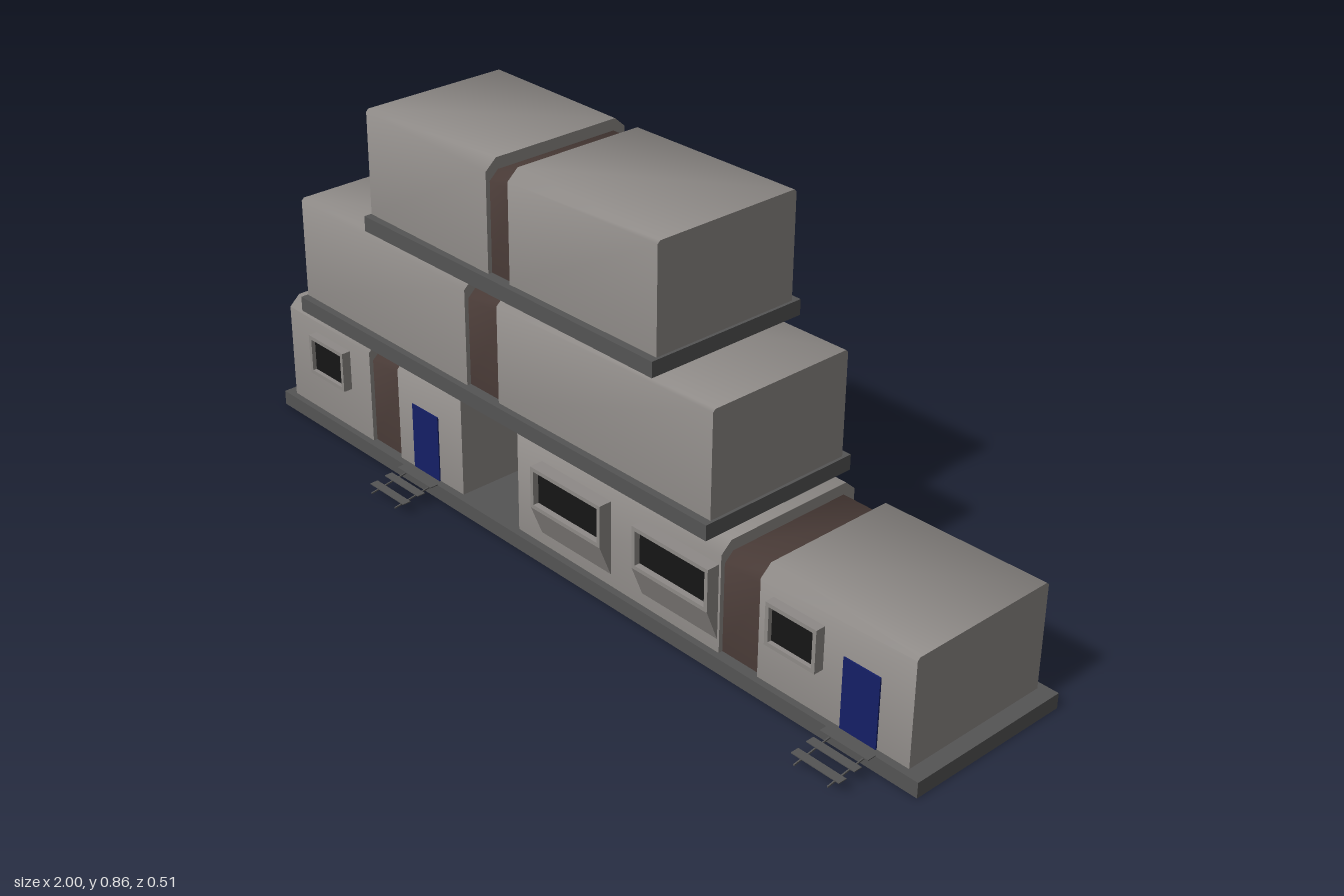
import * as THREE from 'three';
import { toCreasedNormals } from 'three/addons/utils/BufferGeometryUtils.js';

const paint = (color) => new THREE.MeshStandardMaterial({ color });
const wall = paint(0x8e8a87);
const base = paint(0x545454);
const brown = paint(0x483a36);
const blue = paint(0x141f66);
const glass = paint(0x151515);

const FRONT = 0.132, BACK = -0.242;

function add(parent, name, geometry, material, x = 0, y = 0, z = 0) {
  const mesh = new THREE.Mesh(geometry, material);
  mesh.name = name;
  mesh.position.set(x, y, z);
  parent.add(mesh);
  return mesh;
}

// Box given by its limits
function block(parent, name, material, x0, x1, y0, y1, z0, z1) {
  return add(parent, name, new THREE.BoxGeometry(x1 - x0, y1 - y0, z1 - z0), material,
    (x0 + x1) / 2, (y0 + y1) / 2, (z0 + z1) / 2);
}

// Closed solid through sections along x; each is { x, pts: [[z, y], ...] }
function loft(sections) {
  const pos = [], idx = [], n = sections[0].pts.length, last = (sections.length - 1) * n;
  for (const s of sections) for (const [z, y] of s.pts) pos.push(s.x, y, z);
  for (let i = 0; i < sections.length - 1; i++) {
    for (let j = 0; j < n; j++) {
      const k = (j + 1) % n, a = i * n, b = a + n;
      idx.push(a + j, b + j, b + k, a + j, b + k, a + k);
    }
  }
  for (let j = 1; j < n - 1; j++) idx.push(0, j, j + 1, last, last + j + 1, last + j);
  const g = new THREE.BufferGeometry();
  g.setAttribute('position', new THREE.Float32BufferAttribute(pos, 3));
  g.setIndex(idx);
  return toCreasedNormals(g, 0.9);
}

// Cabin cross-section: inset side walls and chamfered roof edges
function section(x, y0, top, inset, cz, cy) {
  const f = FRONT - inset, b = BACK + inset;
  return { x, pts: [[f, y0], [f, top - cy], [f - cz, top], [b + cz, top], [b, top - cy], [b, y0]] };
}
const outer = (x, y0, h) => section(x, y0, y0 + h - 0.007, 0.003, 0.006, 0.006);
const inner = (x, y0, h) => section(x, y0, y0 + h, 0, 0.027, 0.024);

// Floor slab: a plate with a rim hanging below it
function slab(parent, x0, x1, y) {
  const g = new THREE.Group();
  g.name = 'floorSlab';
  parent.add(g);
  const z0 = -0.257, z1 = 0.147, t = 0.02;
  block(g, 'floorPlate', base, x0, x1, y + 0.02, y + 0.035, z0, z1);
  for (const z of [z0, z1 - t]) block(g, 'longRim', base, x0, x1, y, y + 0.02, z, z + t);
  for (const x of [x0, x1 - t]) block(g, 'endRim', base, x, x + t, y, y + 0.02, z0 + t, z1 - t);
}

// Recessed brown link between two cabins
function link(parent, x0, x1, y0, h) {
  const e = 0.008;
  add(parent, 'link', loft([x0 - e, x1 + e].map((x) => section(x, y0, y0 + h - 0.026, 0.01, 0.022, 0.02))), brown);
}

// Framed window facing +z, with its back on z = 0
function framedWindow(w, h, depth) {
  const g = new THREE.Group(), rim = 0.009;
  g.name = 'window';
  const shape = new THREE.Shape([[-w, -h], [w, -h], [w, h], [-w, h]].map(([x, y]) => new THREE.Vector2(x / 2, y / 2)));
  const a = w / 2 - rim, b = h / 2 - rim;
  shape.holes.push(new THREE.Path([[-a, -b], [-a, b], [a, b], [a, -b]].map(([x, y]) => new THREE.Vector2(x, y))));
  add(g, 'windowFrame', new THREE.ExtrudeGeometry(shape, { depth, bevelEnabled: false }), wall);
  add(g, 'windowPane', new THREE.BoxGeometry(2 * a, 2 * b, depth * 0.6), glass, 0, 0, depth * 0.3);
  return g;
}

// Window on a left-hand end wall
function endWindow(parent, x, y) {
  const w = framedWindow(0.165, 0.105, 0.022);
  w.rotation.y = -Math.PI / 2;
  w.position.set(x, y, -0.053);
  parent.add(w);
}

function frontWindow(parent, x, y) {
  const w = framedWindow(0.13, 0.097, 0.025);
  w.position.set(x, y, FRONT - 0.003);
  parent.add(w);
}

// Bay window: frame above a sloping apron
function bayWindow(parent, x) {
  const g = new THREE.Group(), w = 0.215;
  g.name = 'bayWindow';
  parent.add(g);
  const pts = [[FRONT - 0.01, 0.065], [FRONT, 0.065], [0.162, 0.14], [FRONT - 0.01, 0.14]];
  add(g, 'bayApron', loft([{ x: x - w / 2, pts }, { x: x + w / 2, pts }]), wall);
  const pane = framedWindow(w, 0.098, 0.035);
  pane.position.set(x, 0.188, 0.127);
  g.add(pane);
}

// Door with its little ramp of treads
function entrance(parent, x) {
  const g = new THREE.Group();
  g.name = 'entrance';
  parent.add(g);
  block(g, 'door', blue, x - 0.045, x + 0.045, 0.035, 0.195, FRONT - 0.01, FRONT + 0.001);
  for (const s of [-0.042, 0.042]) {
    const rail = add(g, 'stepRail', new THREE.BoxGeometry(0.003, 0.003, 0.112), base, x + s, 0.023, 0.201);
    rail.rotation.x = Math.atan2(0.017, 0.11);
  }
  [[0.16, 0.039], [0.196, 0.032], [0.236, 0.027]].forEach(([z, y]) =>
    block(g, 'stepTread', base, x - 0.06, x + 0.06, y - 0.001, y + 0.001, z - 0.01, z + 0.01));
}

// Upper storey: two cabins joined by a link
function upperStorey(parent, name, y, x0, l0, l1, x1) {
  const g = new THREE.Group(), f = y + 0.035, h = 0.248;
  g.name = name;
  parent.add(g);
  slab(g, x0, x1 + 0.007, y);
  add(g, 'cabin', loft([outer(x0 + 0.002, f, h), inner(l0, f, h)]), wall);
  add(g, 'cabin', loft([inner(l1, f, h), outer(x1, f, h)]), wall);
  link(g, l0, l1, f, h);
  endWindow(g, x0 + 0.007, y + 0.182);
}

export function createModel() {
  const model = new THREE.Group();
  model.name = 'stackedCabins';

  // Ground storey, split by an open passage
  const ground = new THREE.Group(), f = 0.035, h = 0.249;
  ground.name = 'groundStorey';
  model.add(ground);
  slab(ground, -0.984, 1, 0);
  const cabins = [
    [section(-0.978, f, f + h - 0.008, 0.02, 0.02, 0.02), section(-0.957, f, f + h, 0, 0.022, 0.02), inner(-0.65, f, h)],
    [inner(-0.545, f, h), outer(-0.325, f, h)],
    [outer(-0.135, f, h), inner(0.475, f, h)],
    [inner(0.58, f, h), outer(0.963, f, h)],
  ];
  for (const c of cabins) add(ground, 'cabin', loft(c), wall);
  link(ground, -0.65, -0.545, f, h);
  link(ground, 0.475, 0.58, f, h);
  for (const x of [-0.79, 0.68]) frontWindow(ground, x, 0.187);
  for (const x of [0.052, 0.362]) bayWindow(ground, x);
  for (const x of [-0.45, 0.84]) entrance(ground, x);
  endWindow(ground, -0.978, 0.185);

  upperStorey(model, 'middleStorey', 0.285, -0.885, -0.295, -0.19, 0.44);
  upperStorey(model, 'topStorey', 0.575, -0.617, -0.213, -0.145, 0.285);
  return model;
}
